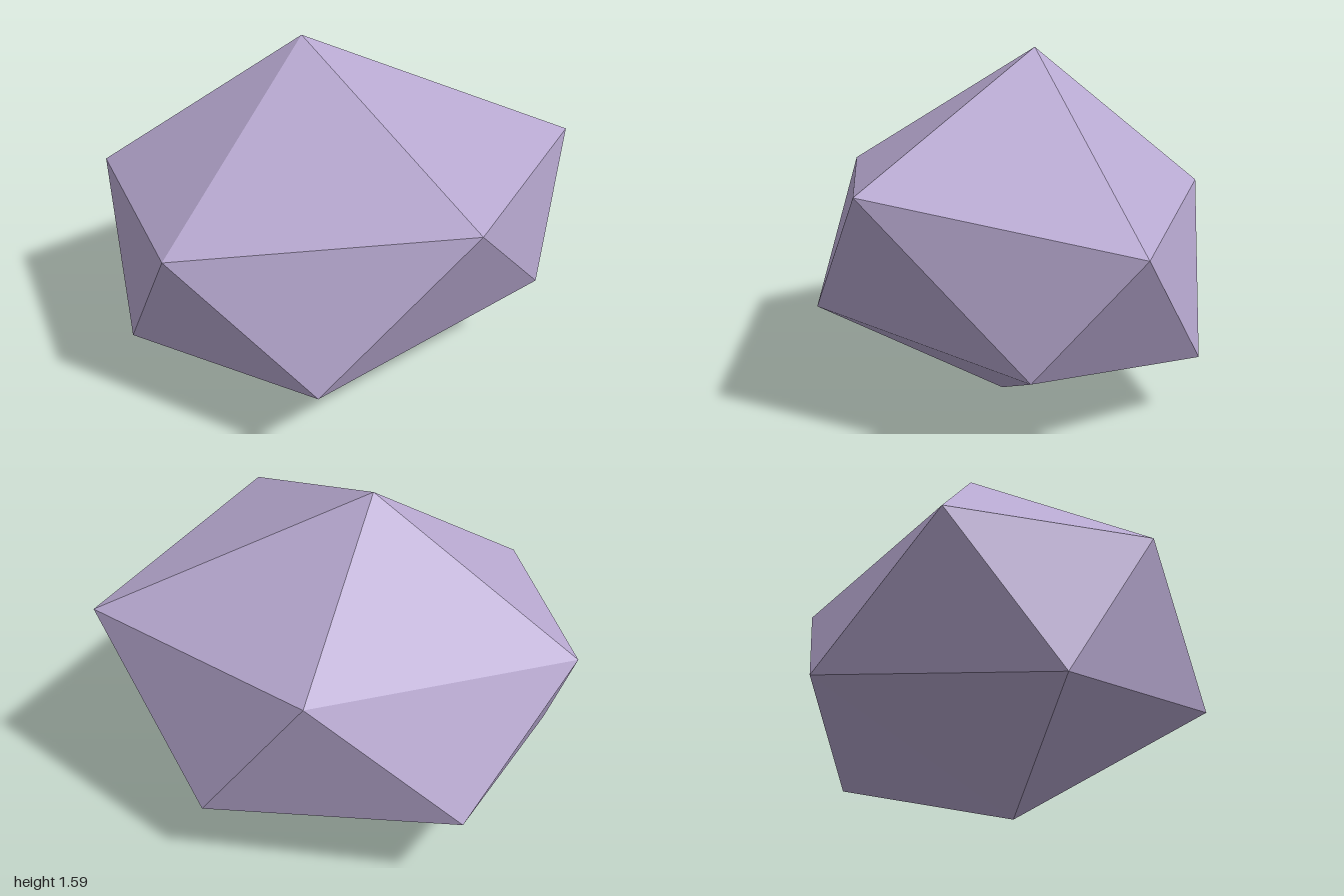
import * as THREE from 'three';

// Low-poly rock: an irregular icosahedron made of two poles and two five-point rings.
export function createModel() {
  const top = [-0.18, 1.59, 0.1];
  const bottom = [0.06, 0, 0.08];
  // Both rings run counterclockwise seen from above; lower[i] sits between upper[i] and upper[i + 1].
  const upper = [
    [0.96, 1.17, 0.02], [0.35, 1.0, -1.0], [-0.69, 0.97, -0.44],
    [-0.76, 0.92, 0.8], [0.13, 0.96, 1.0],
  ];
  const lower = [
    [0.62, 0.45, -0.63], [-0.32, 0.3, -0.77], [-0.97, 0.39, 0.16],
    [-0.3, 0.27, 0.97], [0.7, 0.45, 0.63],
  ];

  const corners = [];
  for (let i = 0; i < 5; i++) {
    const j = (i + 1) % 5;
    corners.push(
      top, upper[i], upper[j],         // cap
      upper[i], lower[i], upper[j],    // side, pointing down
      lower[i], lower[j], upper[j],    // side, pointing up
      bottom, lower[j], lower[i],      // base
    );
  }
  const geometry = new THREE.BufferGeometry();
  geometry.setAttribute('position', new THREE.Float32BufferAttribute(corners.flat(), 3));
  geometry.computeVertexNormals(); // unshared corners give flat facets

  const lilacStone = new THREE.MeshStandardMaterial({ color: 0xb8a9d1, flatShading: true });
  lilacStone.name = 'lilacStone';
  const rock = new THREE.Mesh(geometry, lilacStone);
  rock.name = 'rock';

  const group = new THREE.Group();
  group.name = 'facetedRock';
  group.add(rock);
  return group;
}
